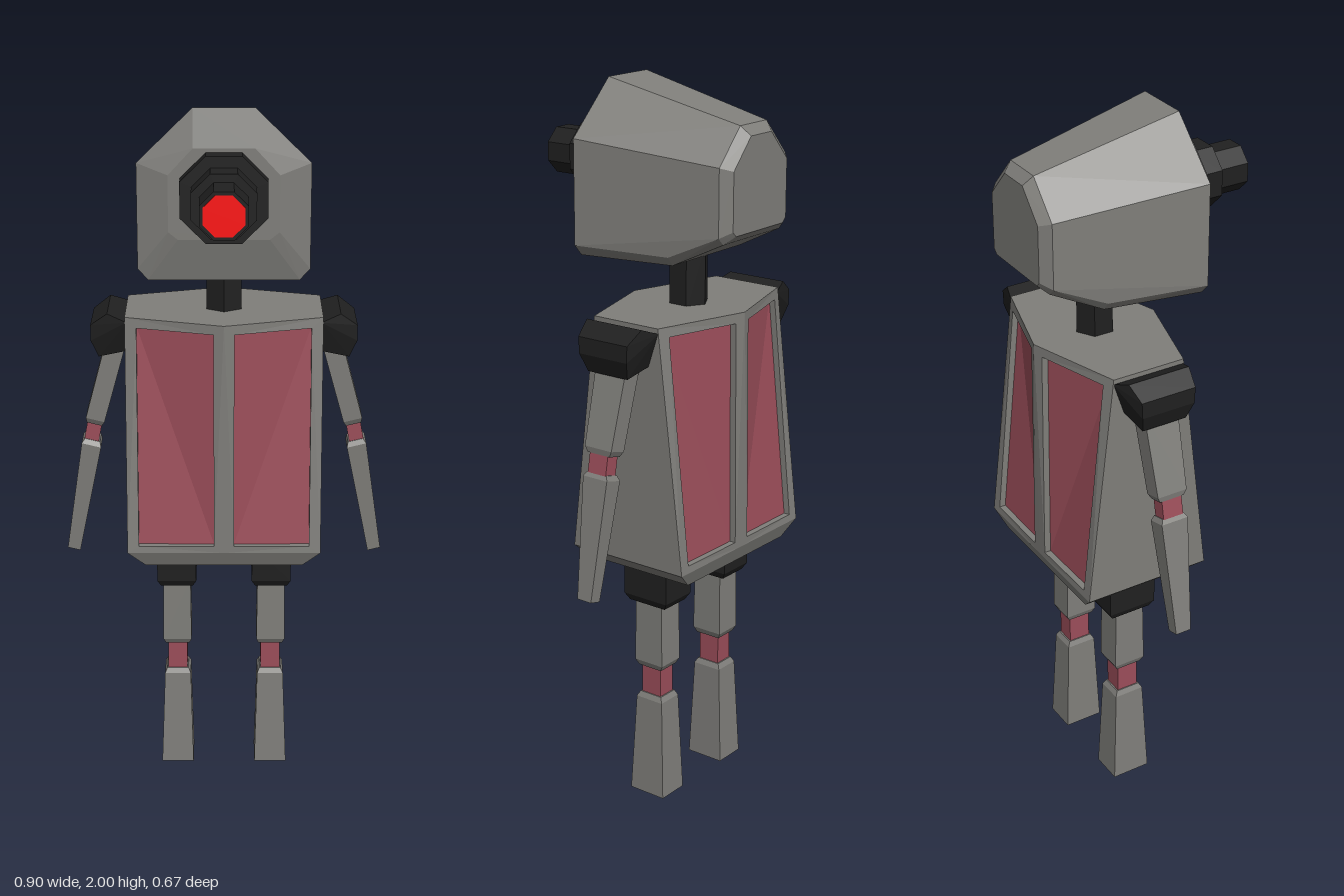
import * as THREE from 'three';
import { ConvexGeometry } from 'three/addons/geometries/ConvexGeometry.js';

const paint = (color, extra = {}) => new THREE.MeshStandardMaterial({ color, flatShading: true, ...extra });
const V = (x, y, z) => new THREE.Vector3(x, y, z);
const ZC = -0.105; // depth of the body's middle plane

function add(group, name, geometry, material) {
  const mesh = new THREE.Mesh(geometry, material);
  mesh.name = name;
  group.add(mesh);
  return mesh;
}

// Four-sided limb piece: rings of [x, y, halfWidth, halfDepth], tilted across x
function limb(rings, side, tilt = 0) {
  const pts = [];
  for (const [x, y, w, d] of rings)
    for (const a of [-1, 1]) for (const b of [-1, 1])
      pts.push(V(side * (x + a * w), y + a * w * tilt, ZC + b * d));
  return new ConvexGeometry(pts);
}

// Quads [a,b,c,d] of [x,y,z] repeated over the four quarters of the torso
function quarters(quads) {
  const pos = [];
  for (const sx of [1, -1]) for (const sz of [1, -1])
    for (const q of quads) {
      const order = sx * sz > 0 ? [0, 1, 2, 0, 2, 3] : [0, 2, 1, 0, 3, 2];
      for (const i of order) pos.push(sx * q[i][0], q[i][1], ZC + sz * q[i][2]);
    }
  const g = new THREE.BufferGeometry();
  g.setAttribute('position', new THREE.Float32BufferAttribute(pos, 3));
  g.computeVertexNormals();
  return g;
}

function buildTorso(group, grey, red) {
  const W = 0.27, Y0 = 0.745, Y1 = 1.41, base = 0.70;
  // Front skin: flat at the bottom, folding back towards the top corners
  const p = (x, y, inset = 0) => [x, y, 0.185 - 0.08 * (x / W) * (y - Y0) / (Y1 - Y0) - inset];
  const mid = (x, y) => [x, y, 0];
  const outer = [[0, Y0], [W, Y0], [W, Y1], [0, Y1]];
  const inner = [[0.028, 0.765], [0.238, 0.765], [0.238, 1.383], [0.028, 1.383]];
  const quads = [];
  for (let i = 0; i < 4; i++) {
    const j = (i + 1) % 4;
    quads.push([p(...outer[i]), p(...outer[j]), p(...inner[j]), p(...inner[i])]); // frame
    quads.push([p(...inner[i]), p(...inner[j]), p(...inner[j], 0.018), p(...inner[i], 0.018)]); // recess
  }
  const b0 = [0, base, 0.168], b1 = [0.22, base, 0.168];
  quads.push(
    [p(W, Y0), mid(W, Y0), mid(W, Y1), p(W, Y1)], // side
    [p(0, Y1), p(W, Y1), mid(W, Y1), mid(0, Y1)], // top
    [b0, b1, p(W, Y0), p(0, Y0)], // bottom bevels
    [b1, mid(0.22, base), mid(W, Y0), p(W, Y0)],
    [mid(0, base), mid(0.22, base), b1, b0] // underside
  );
  add(group, 'torsoShell', quarters(quads), grey);
  add(group, 'torsoPanels', quarters([inner.map(([x, y]) => p(x, y, 0.018))]), red);
}

function buildHead(group, grey, black, eyeRed) {
  // Sections: z, then mirrored [x, y] outline points
  const sections = [
    [0.125, [0.08, 1.90], [0.145, 1.83], [0.145, 1.68], [0.12, 1.66]],
    [0.1, [0.08, 2.0], [0.227, 1.857], [0.227, 1.575], [0.2, 1.545]],
    [-0.165, [0.17, 1.57], [0.15, 1.545]],
    [-0.308, [0.058, 1.91], [0.146, 1.815], [0.146, 1.635], [0.125, 1.615]],
    [-0.333, [0.045, 1.885], [0.118, 1.805], [0.118, 1.65], [0.105, 1.637]]
  ];
  const pts = [];
  for (const [z, ...outline] of sections)
    for (const [x, y] of outline) pts.push(V(x, y, z), V(-x, y, z));
  add(group, 'headShell', new ConvexGeometry(pts), grey);

  // Stepped octagonal lens with flats facing up and sideways
  const barrel = (name, flat, z0, z1, mat) => {
    const r = flat / Math.cos(Math.PI / 8);
    const g = new THREE.CylinderGeometry(r, r, z1 - z0, 8).rotateY(Math.PI / 8).rotateX(Math.PI / 2);
    add(group, name, g, mat).position.set(0, 1.775, (z0 + z1) / 2);
  };
  barrel('lensBase', 0.114, 0.11, 0.168, black);
  barrel('lensMiddle', 0.084, 0.16, 0.235, black);
  barrel('lensTip', 0.062, 0.23, 0.331, black);
  barrel('eye', 0.053, 0.32, 0.334, eyeRed);
}

function buildArm(group, side, grey, red, black) {
  // Shoulder cap as [x, y, halfDepth] corners
  const cap = [[0.265, 1.395, 0.105], [0.265, 1.305, 0.075], [0.318, 1.415, 0.09],
    [0.365, 1.38, 0.08], [0.365, 1.335, 0.078], [0.345, 1.285, 0.065]];
  const pts = cap.flatMap(([x, y, d]) => [V(side * x, y, ZC + d), V(side * x, y, ZC - d)]);
  add(group, 'shoulder', new ConvexGeometry(pts), black);
  const tilt = 0.25;
  add(group, 'upperArm', limb([[0.298, 1.32, 0.027, 0.05], [0.361, 1.09, 0.026, 0.044],
    [0.364, 1.075, 0.021, 0.036]], side, tilt), grey);
  add(group, 'elbow', limb([[0.362, 1.085, 0.02, 0.03], [0.376, 1.01, 0.02, 0.03]], side, tilt), red);
  add(group, 'forearm', limb([[0.371, 1.025, 0.021, 0.032], [0.374, 1.012, 0.027, 0.04],
    [0.433, 0.685, 0.018, 0.023]], side, tilt), grey);
}

function buildLeg(group, side, grey, red, black) {
  const x = 0.136;
  add(group, 'hip', limb([[x, 0.72, 0.056, 0.072], [x, 0.605, 0.056, 0.072],
    [x, 0.585, 0.046, 0.06]], side), black);
  add(group, 'thigh', limb([[x, 0.6, 0.039, 0.044], [x, 0.405, 0.041, 0.047],
    [x, 0.388, 0.034, 0.038]], side), grey);
  add(group, 'knee', limb([[x, 0.4, 0.028, 0.032], [x, 0.29, 0.028, 0.032]], side), red);
  add(group, 'shin', limb([[x, 0.305, 0.031, 0.036], [x, 0.29, 0.038, 0.044],
    [x + 0.002, 0, 0.047, 0.057]], side), grey);
}

export function createModel() {
  const model = new THREE.Group();
  model.name = 'robot';
  const grey = paint(0x7f7e7a), red = paint(0x9c4e5a), black = paint(0x202020), eyeRed = paint(0xff1010);
  const part = (name) => {
    const g = new THREE.Group();
    g.name = name;
    model.add(g);
    return g;
  };

  buildTorso(part('torso'), grey, red);
  buildHead(part('head'), grey, black, eyeRed);
  add(model, 'neck', new THREE.CylinderGeometry(0.055, 0.055, 0.18, 6), black).position.set(0, 1.48, ZC);

  for (const side of [1, -1]) {
    const label = side > 0 ? 'left' : 'right';
    buildArm(part(label + 'Arm'), side, grey, red, black);
    buildLeg(part(label + 'Leg'), side, grey, red, black);
  }
  return model;
}
